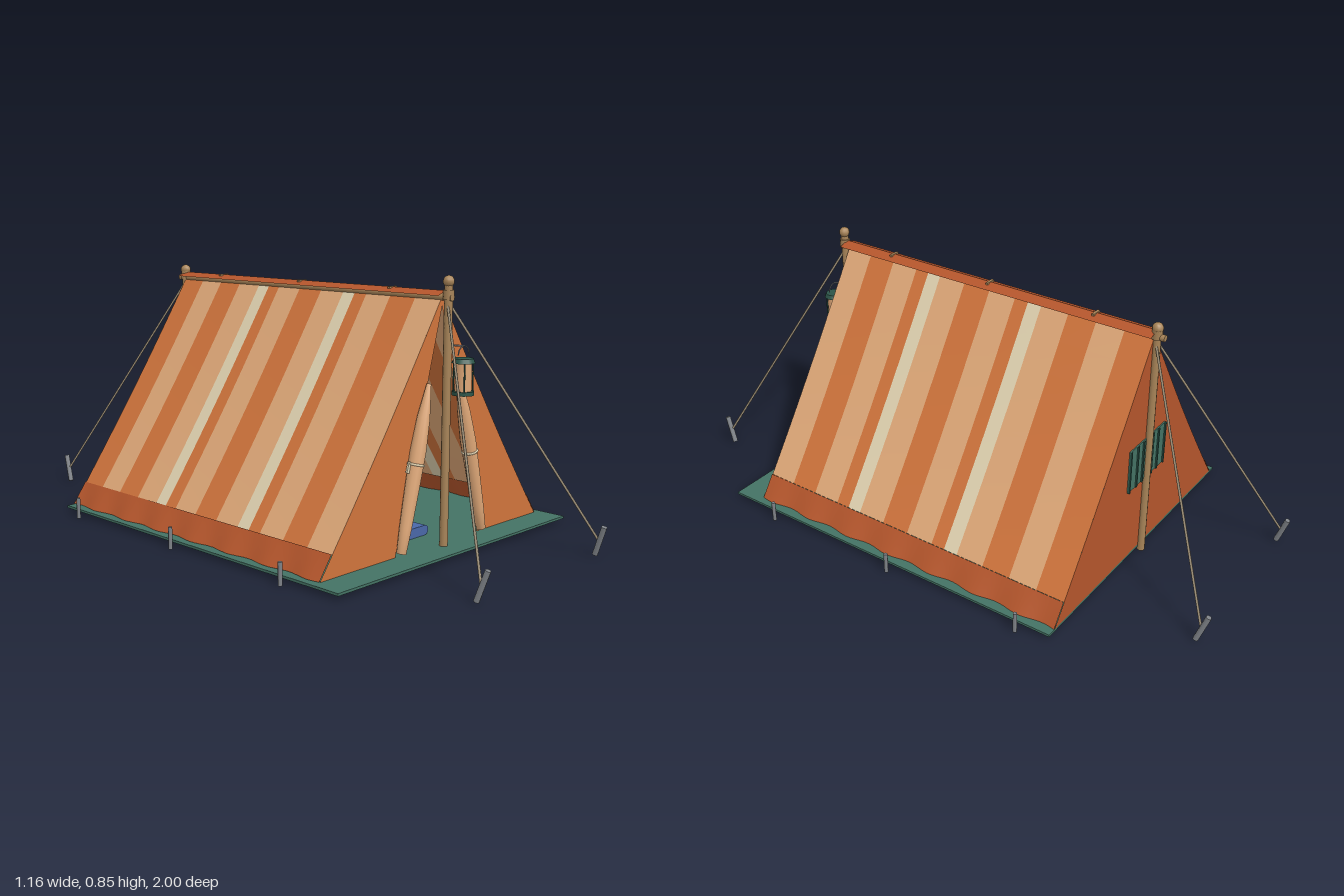
import * as THREE from 'three';

const material = (name, color, side = THREE.FrontSide) => {
  const m = new THREE.MeshStandardMaterial({ color, side });
  m.name = name;
  return m;
};

export function createModel() {
  const root = new THREE.Group();
  root.name = 'ridgeTent';
  const D = THREE.DoubleSide;
  const orange = material('orange canvas', 0xd0743c, D);
  const tan = material('tan canvas', 0xdfa878, D);
  const cream = material('cream canvas', 0xe0d2b0, D);
  const rust = material('rust canvas', 0xb5562c, D);
  const green = material('green sheet', 0x447264, D);
  const darkGreen = material('dark green trim', 0x2c5549);
  const wood = material('wood', 0xa88458);
  const metal = material('grey metal', 0x7f8388);
  const blue = material('blue fabric', 0x4a68a8);
  const rope = material('rope', 0x9a8c74);

  const add = (name, geo, mat, x = 0, y = 0, z = 0) => {
    const m = new THREE.Mesh(geo, mat);
    m.name = name;
    m.position.set(x, y, z);
    root.add(m);
    return m;
  };
  // Rod or lathe body laid between two points
  const between = (name, geo, mat, a, b) => {
    const m = add(name, geo, mat);
    m.position.copy(a).add(b).multiplyScalar(0.5);
    m.quaternion.setFromUnitVectors(new THREE.Vector3(0, 1, 0), b.clone().sub(a).normalize());
    return m;
  };
  const rod = (name, mat, a, b, r, sides = 8) =>
    between(name, new THREE.CylinderGeometry(r, r, a.distanceTo(b), sides), mat, a, b);
  const V = (x, y, z) => new THREE.Vector3(x, y, z);

  // Curved cloth from a rule (u, v) -> point
  const cloth = (rule, nu, nv) => {
    const g = new THREE.PlaneGeometry(1, 1, nu, nv);
    const p = g.attributes.position;
    for (let i = 0; i < p.count; i++) {
      const q = rule(p.getX(i) + 0.5, 0.5 - p.getY(i));
      p.setXYZ(i, q[0], q[1], q[2]);
    }
    g.computeVertexNormals();
    return g;
  };
  // Roof slope section, sagging a little between ridge (0) and ground (1)
  const slope = (t, lift = 0) => {
    const d = lift - 0.008 * Math.sin(Math.PI * t);
    return [0.52 * t + 0.83 * d, 0.785 - 0.765 * t + 0.56 * d];
  };

  // Ground sheet
  add('groundSheet', new THREE.BoxGeometry(1.1, 0.008, 1.29), green, 0, 0.016, 0.04);

  // Striped roof: width in stripe units from front to back
  const stripes = [[tan, 1], [orange, 1], [tan, 1], [orange, 0.5], [cream, 0.5], [tan, 1], [orange, 1],
    [tan, 1], [orange, 0.5], [cream, 0.5], [tan, 1], [orange, 1], [tan, 1], [orange, 1]];
  const front = 0.587, back = -0.605, unit = (front - back) / 12;
  const hemStart = 0.908;
  for (const s of [-1, 1]) {
    let z = front;
    for (const [mat, w] of stripes) {
      const z0 = z, dz = w * unit;
      add('roofStripe', cloth((u, v) => {
        const [x, y] = slope(v * hemStart);
        return [s * x, y, z0 - u * dz];
      }, 1, 8), mat);
      z -= dz;
    }
    // Gently rippled hem
    add('roofHem', cloth((u, v) => {
      const t = hemStart + v * (1 - hemStart);
      const [x, y] = slope(t, 0.003);
      return [s * (x + v * 0.006 * Math.sin(u * 44)), y, front + (back - front) * u];
    }, 60, 2), rust);

    // Front gable half beside the doorway
    const half = new THREE.Shape();
    half.moveTo(0, 0.785);
    for (let i = 1; i <= 8; i++) {
      const [x, y] = slope(i / 8);
      half.lineTo(s * x, y);
    }
    half.lineTo(s * 0.2, 0.02);
    half.lineTo(0, 0.755);
    add('frontPanel', new THREE.ShapeGeometry(half), orange, 0, 0, front);

    // Rolled door flap with its tie
    const a = V(s * 0.195, 0.035, 0.606), b = V(s * 0.072, 0.53, 0.6);
    const L = a.distanceTo(b);
    const radii = [0, 0.015, 0.019, 0.022, 0.025, 0.02, 0.007, 0];
    const heights = [0, 0, 0.15, 0.35, 0.6, 0.8, 1, 1];
    between('rolledFlap', new THREE.LatheGeometry(
      radii.map((r, i) => new THREE.Vector2(r, (heights[i] - 0.5) * L)), 12), tan, a, b);
    const tie = add('flapTie', new THREE.TorusGeometry(0.024, 0.004, 6, 14), cream, s * 0.131, 0.295, 0.603);
    tie.rotation.set(Math.PI / 2, s * 0.24, 0);
    const knot = add('tieEnd', new THREE.BoxGeometry(0.012, 0.035, 0.006), cream, s * 0.16, 0.29, 0.6);
    knot.rotation.z = s * 0.3;

    // Ridge cap
    add('ridgeCap', cloth((u, v) => [s * 0.036 * v, 0.802 - 0.014 * v, 0.6 - 1.21 * u], 1, 1), rust);

    // Guy ropes and their pegs, front and back
    for (const f of [-1, 1]) {
      rod('guyRope', rope, V(0, 0.775, f * 0.605), V(s * 0.293, 0.055, f * 0.968), 0.004, 6);
      rod('guyPeg', metal, V(s * 0.298, 0.003, f * 0.958), V(s * 0.292, 0.096, f * 0.99), 0.009);
    }
    // Side pegs
    for (const pz of [-0.5, -0.005, 0.485])
      rod('sidePeg', metal, V(s * 0.575, 0, pz), V(s * 0.575, 0.07, pz), 0.0065);
  }

  // Back gable
  const gable = new THREE.Shape();
  gable.moveTo(0, 0.785);
  for (let i = 1; i <= 8; i++) gable.lineTo(...slope(i / 8));
  for (let i = 8; i >= 1; i--) {
    const [x, y] = slope(i / 8);
    gable.lineTo(-x, y);
  }
  add('backPanel', new THREE.ShapeGeometry(gable), rust, 0, 0, back);

  // Back window with upright bars
  add('backWindow', new THREE.BoxGeometry(0.225, 0.15, 0.009), green, 0, 0.355, back);
  for (const x of [-0.11, -0.066, -0.03, 0.03, 0.066, 0.11])
    add('windowBar', new THREE.BoxGeometry(0.007, 0.15, 0.006), darkGreen, x, 0.355, back - 0.006);

  // Upright poles with collars and knobs
  for (const z of [0.61, -0.612]) {
    const top = z > 0 ? 0.82 : 0.8;
    rod('uprightPole', wood, V(0, 0, z), V(0, top, z), 0.013, 10);
    add('poleCollar', new THREE.CylinderGeometry(0.017, 0.017, 0.03, 10), wood, 0, 0.79, z);
    add('poleKnob', new THREE.SphereGeometry(0.018, 10, 8), wood, 0, top + 0.01, z);
  }
  rod('ridgePole', wood, V(0, 0.782, -0.64), V(0, 0.782, 0.625), 0.011, 10);
  for (const z of [-0.4, -0.005, 0.39])
    add('ridgeTie', new THREE.BoxGeometry(0.036, 0.007, 0.009), wood, 0, 0.8, z);

  // Lantern hanging at the front pole
  const lx = 0.03, lz = 0.648;
  add('lanternGlass', new THREE.CylinderGeometry(0.026, 0.026, 0.09, 14), tan, lx, 0.545, lz);
  add('lanternBase', new THREE.CylinderGeometry(0.034, 0.034, 0.012, 14), darkGreen, lx, 0.496, lz);
  add('lanternTop', new THREE.CylinderGeometry(0.03, 0.036, 0.014, 14), darkGreen, lx, 0.594, lz);
  for (let i = 0; i < 4; i++) {
    const a = Math.PI / 4 + i * Math.PI / 2;
    add('lanternBar', new THREE.CylinderGeometry(0.0025, 0.0025, 0.095, 6), darkGreen,
      lx + 0.029 * Math.cos(a), 0.545, lz + 0.029 * Math.sin(a));
  }
  add('lanternHandle', new THREE.TorusGeometry(0.026, 0.002, 6, 16, Math.PI), metal, lx, 0.612, lz);
  rod('lanternHook', metal, V(0, 0.64, 0.61), V(lx, 0.638, lz), 0.003, 6);

  // Bedding
  const pad = new THREE.Shape();
  pad.absarc(-0.165, 0, 0.016, Math.PI / 2, Math.PI * 1.5);
  pad.absarc(0.045, 0, 0.016, -Math.PI / 2, Math.PI / 2);
  add('sleepingPad', new THREE.ExtrudeGeometry(pad, { depth: 0.9, bevelEnabled: false, curveSegments: 6 }),
    blue, 0, 0.037, -0.4);
  add('pillow', new THREE.BoxGeometry(0.18, 0.04, 0.13), cream, -0.08, 0.074, -0.3);
  const bag = add('rolledBag', new THREE.CylinderGeometry(0.057, 0.057, 0.28, 20), blue, 0.108, 0.076, 0.15);
  bag.rotation.x = Math.PI / 2;

  return root;
}
